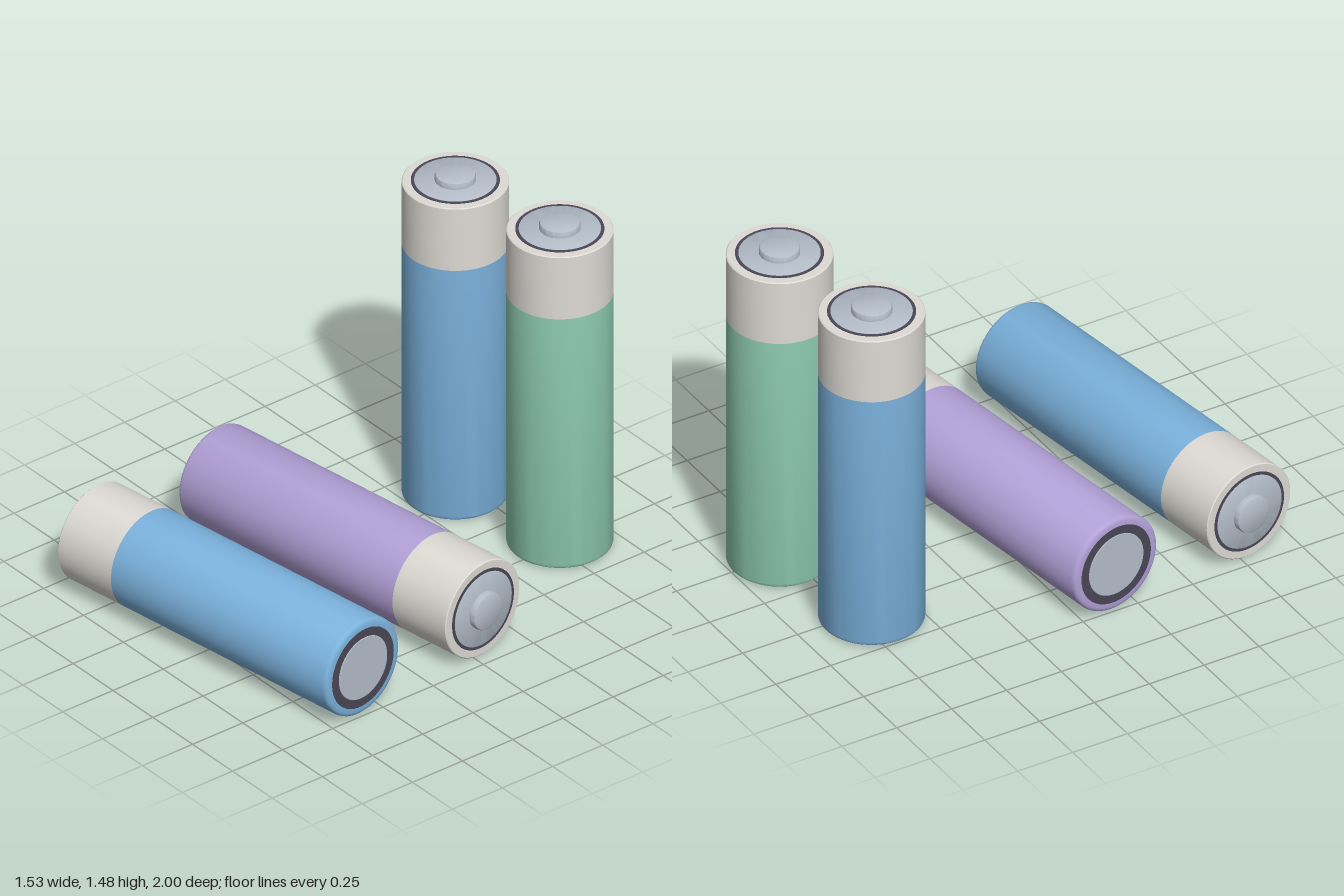
import * as THREE from 'three';
import { toCreasedNormals } from 'three/addons/utils/BufferGeometryUtils.js';

const SEGMENTS = 64;

function material(name, color) {
  const m = new THREE.MeshStandardMaterial({ color });
  m.name = name;
  return m;
}

// Revolve a profile (listed bottom to top) keeping hard edges crisp
function lathe(name, points, mat) {
  const profile = points.map(([r, y]) => new THREE.Vector2(r, y));
  const geometry = toCreasedNormals(new THREE.LatheGeometry(profile, SEGMENTS), 0.6);
  const mesh = new THREE.Mesh(geometry, mat);
  mesh.name = name;
  return mesh;
}

export function createModel() {
  const blue = material('blue wrap', 0x7cb3de);
  const green = material('green wrap', 0x90cdb4);
  const purple = material('purple wrap', 0xb3a2d9);
  const cream = material('cream band', 0xdedbd5);
  const metal = material('metal', 0xb4bdc8);
  const dark = material('dark insulator', 0x4a4756);

  // One battery standing on its base at the local origin
  function battery(name, wrap) {
    const g = new THREE.Group();
    g.name = name;
    g.add(
      // Coloured sleeve with a rounded lower rim
      lathe('sleeve', [[0.165, 0.003], [0.192, 0.003], [0.202, 0.006], [0.208, 0.012], [0.21, 0.02], [0.21, 1.16]], wrap),
      // Pale upper band and its rim
      lathe('upperBand', [[0.21, 1.16], [0.21, 1.443], [0.206, 1.447], [0.16, 1.447]], cream),
      // Positive end
      lathe('topInsulator', [[0.174, 1.446], [0.174, 1.449], [0.15, 1.449]], dark),
      lathe('topPlate', [[0.161, 1.447], [0.161, 1.45], [0.157, 1.452], [0, 1.452]], metal),
      lathe('terminalNub', [[0.081, 1.45], [0.081, 1.47], [0.078, 1.477], [0.07, 1.481], [0, 1.481]], metal),
      // Negative end
      lathe('baseInsulator', [[0.13, 0.002], [0.174, 0.002], [0.174, 0.005]], dark),
      lathe('basePlate', [[0, 0], [0.135, 0], [0.138, 0.003]], metal)
    );
    return g;
  }

  const model = new THREE.Group();
  model.name = 'batteries';
  const tilt = THREE.MathUtils.degToRad(8);

  // Upright pair
  const standingBlue = battery('standingBlueBattery', blue);
  standingBlue.position.set(-0.295, 0, -0.69);
  const standingGreen = battery('standingGreenBattery', green);
  standingGreen.position.set(0.235, 0, -0.79);

  // Lying pair, pointing opposite ways
  const lyingPurple = battery('lyingPurpleBattery', purple);
  lyingPurple.position.set(-0.742, 0.21, 0.157);
  lyingPurple.rotation.set(0, tilt, -Math.PI / 2);
  const lyingBlue = battery('lyingBlueBattery', blue);
  lyingBlue.position.set(0.738, 0.21, 0.588);
  lyingBlue.rotation.set(0, Math.PI + tilt, -Math.PI / 2);

  model.add(standingBlue, standingGreen, lyingPurple, lyingBlue);
  return model;
}
